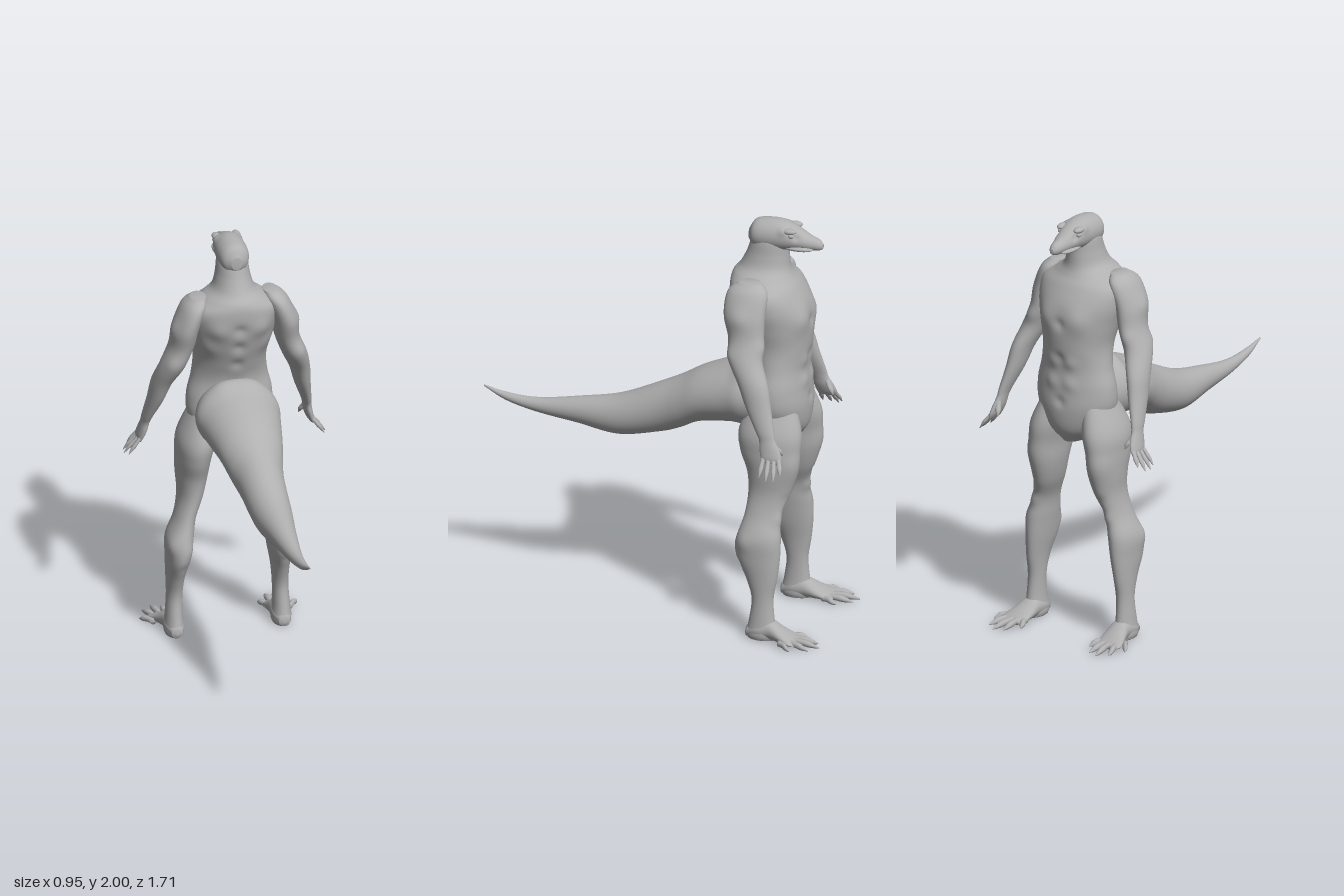
import * as THREE from 'three';

const skin = new THREE.MeshStandardMaterial({ color: 0xb0b0b0 });
skin.name = 'grey skin';

// Muscle swellings and grooves: x, y, z, reach, height (mirrored in x)
const muscles = [
  [0.09, 1.54, -0.71, 0.07, 0.014], [0.05, 1.33, -0.70, 0.04, 0.008], [0.05, 1.23, -0.71, 0.04, 0.008],
  [0, 1.52, -0.73, 0.03, -0.012], [0, 1.35, -0.71, 0.03, -0.006], [0, 1.14, -0.72, 0.03, -0.01],
  [0.1, 1.6, -0.37, 0.06, 0.012], [0.14, 1.5, -0.42, 0.06, 0.008],
  [0, 1.6, -0.35, 0.035, -0.012], [0, 1.5, -0.37, 0.035, -0.012], [0, 1.4, -0.41, 0.035, -0.01],
  [0.07, 1.28, -0.42, 0.05, 0.008], [0.15, 1.15, -0.40, 0.06, 0.008],
  [0.2, 0.85, -0.69, 0.07, 0.008], [0.21, 0.59, -0.63, 0.035, 0.01], [0.2, 0.68, -0.66, 0.03, -0.006],
  [0.21, 0.46, -0.44, 0.05, 0.008], [0.29, 0.48, -0.47, 0.05, 0.01], [0.24, 0.36, -0.44, 0.03, -0.006],
  [0.29, 1.6, -0.46, 0.05, 0.008], [0.27, 1.46, -0.57, 0.04, 0.008], [0.31, 1.43, -0.42, 0.04, 0.006],
  [0.06, 1.965, -0.6, 0.025, 0.01], [0.05, 1.935, -0.66, 0.02, -0.008],
];

function sculpt(geo) {
  const p = geo.attributes.position, n = geo.attributes.normal;
  for (let i = 0; i < p.count; i++) {
    let d = 0;
    for (const [x, y, z, r, h] of muscles) {
      const q = (Math.abs(p.getX(i)) - x) ** 2 + (p.getY(i) - y) ** 2 + (p.getZ(i) - z) ** 2;
      d += h * Math.exp(-q / (r * r) * 1.5);
    }
    p.setXYZ(i, p.getX(i) + n.getX(i) * d, p.getY(i) + n.getY(i) * d, p.getZ(i) + n.getZ(i) * d);
  }
  geo.computeVertexNormals();
}

// Smooth skin through elliptical sections [x, y, z, rx, r2];
// rings lie level for axis 'y' and upright across z for axis 'z'
function loft(name, axis, sections, { steps = 6, sides = 40, side = 1, shift = 0 } = {}) {
  const mid = new THREE.CatmullRomCurve3(sections.map(s => new THREE.Vector3(s[0] * side + shift, s[1], s[2])), false, 'catmullrom');
  const rad = new THREE.CatmullRomCurve3(sections.map(s => new THREE.Vector3(s[3], s[4], 0)), false, 'catmullrom');
  const rows = (sections.length - 1) * steps, pos = [], idx = [];
  for (let i = 0; i <= rows; i++) {
    const c = mid.getPoint(i / rows), r = rad.getPoint(i / rows);
    for (let j = 0; j < sides; j++) {
      const a = j / sides * Math.PI * 2;
      const u = Math.max(r.x, 0.001) * Math.cos(a), v = Math.max(r.y, 0.001) * Math.sin(a);
      pos.push(c.x + u, c.y + (axis === 'z' ? v : 0), c.z + (axis === 'y' ? v : 0));
    }
  }
  const start = pos.length / 3;
  pos.push(...mid.getPoint(0).toArray(), ...mid.getPoint(1).toArray());
  const k = axis === 'y' ? 1 : 2;
  const rising = sections[sections.length - 1][k] > sections[0][k];
  const flip = (axis === 'y') === rising;
  const tri = (a, b, c) => flip ? idx.push(a, c, b) : idx.push(a, b, c);
  for (let j = 0; j < sides; j++) {
    const j2 = (j + 1) % sides;
    for (let i = 0; i < rows; i++) {
      const a = i * sides + j, b = i * sides + j2;
      tri(a, b, b + sides);
      tri(a, b + sides, a + sides);
    }
    tri(start, j2, j);
    tri(start + 1, rows * sides + j, rows * sides + j2);
  }
  const geo = new THREE.BufferGeometry();
  geo.setAttribute('position', new THREE.Float32BufferAttribute(pos, 3));
  geo.setIndex(idx);
  geo.computeVertexNormals();
  sculpt(geo);
  const mesh = new THREE.Mesh(geo, skin);
  mesh.name = name;
  return mesh;
}

// Tapered finger or toe with a knuckle and a pointed claw
function digit(name, axis, from, to, r, arch, opts) {
  const at = (t, w, h) => [0, 1, 2].map(i => from[i] + (to[i] - from[i]) * t + (i === 1 ? h : 0)).concat(w, w);
  return loft(name, axis, [at(0, r, 0), at(0.35, r * 0.9, arch), at(0.6, r, arch), at(0.8, r * 0.7, arch / 2), at(1, 0.002, 0)],
    { steps: 3, sides: 12, ...opts });
}

function ball(name, x, y, z, rx, ry, rz) {
  const m = new THREE.Mesh(new THREE.SphereGeometry(1, 20, 14), skin);
  m.name = name;
  m.position.set(x, y, z);
  m.scale.set(rx, ry, rz);
  return m;
}

export function createModel() {
  const model = new THREE.Group();
  model.name = 'lizardFigure';

  // Torso and neck
  model.add(loft('torso', 'y', [
    [0, 0.93, -0.58, 0.05, 0.08], [0, 1.0, -0.565, 0.14, 0.14], [0, 1.1, -0.57, 0.195, 0.148],
    [0, 1.2, -0.575, 0.2, 0.135], [0, 1.3, -0.575, 0.178, 0.128], [0, 1.4, -0.565, 0.17, 0.152],
    [0, 1.5, -0.548, 0.19, 0.172], [0, 1.6, -0.527, 0.215, 0.178], [0, 1.68, -0.503, 0.215, 0.163],
    [0, 1.73, -0.49, 0.15, 0.142], [0, 1.77, -0.498, 0.1, 0.118], [0, 1.83, -0.51, 0.08, 0.1],
    [0, 1.9, -0.52, 0.07, 0.086], [0, 1.95, -0.52, 0.05, 0.06],
  ], { sides: 72, steps: 8 }));

  // Head with snout, brows and eyes
  const head = new THREE.Group();
  head.name = 'head';
  head.add(loft('skull', 'z', [
    [0, 1.91, -0.422, 0.025, 0.03], [0, 1.918, -0.45, 0.06, 0.065], [0, 1.922, -0.5, 0.072, 0.075],
    [0, 1.925, -0.58, 0.07, 0.073], [0, 1.917, -0.65, 0.056, 0.055], [0, 1.902, -0.71, 0.038, 0.037],
    [0, 1.895, -0.755, 0.024, 0.026], [0, 1.89, -0.774, 0.01, 0.012],
  ], { steps: 10, sides: 48 }));
  for (const s of [1, -1]) {
    head.add(ball('brow', s * 0.047, 1.963, -0.625, 0.02, 0.014, 0.035));
    head.add(ball('eye', s * 0.052, 1.942, -0.635, 0.011, 0.011, 0.013));
    head.add(ball('jaw', s * 0.025, 1.877, -0.66, 0.03, 0.014, 0.075));
  }
  model.add(head);

  // Tail
  model.add(loft('tail', 'z', [
    [0, 1.13, -0.6, 0.13, 0.09], [0, 1.145, -0.45, 0.19, 0.17], [0.003, 1.125, -0.35, 0.183, 0.15],
    [0.005, 1.083, -0.2, 0.153, 0.132], [0.006, 1.03, -0.1, 0.128, 0.128], [0.008, 0.987, 0, 0.107, 0.122],
    [0.01, 0.922, 0.2, 0.09, 0.098], [0.01, 0.912, 0.4, 0.06, 0.063], [0.012, 0.908, 0.6, 0.033, 0.034],
    [0.014, 0.93, 0.75, 0.018, 0.019], [0.015, 0.969, 0.857, 0.003, 0.004],
  ], { steps: 8, sides: 48 }));

  for (const side of [1, -1]) {
    const label = side > 0 ? 'left' : 'right';

    // Leg, foot and toes
    const leg = new THREE.Group();
    leg.name = label + 'LegAndFoot';
    const o = { side, shift: -0.012 };
    leg.add(loft('leg', 'y', [
      [0.11, 1.14, -0.57, 0.06, 0.1], [0.145, 1.0, -0.565, 0.088, 0.148], [0.16, 0.9, -0.568, 0.08, 0.143],
      [0.165, 0.8, -0.58, 0.072, 0.12], [0.175, 0.7, -0.57, 0.058, 0.1], [0.205, 0.6, -0.548, 0.05, 0.085],
      [0.232, 0.5, -0.54, 0.063, 0.102], [0.24, 0.4, -0.537, 0.056, 0.104], [0.247, 0.3, -0.555, 0.043, 0.075],
      [0.25, 0.2, -0.562, 0.037, 0.052], [0.253, 0.1, -0.56, 0.04, 0.06], [0.253, 0.03, -0.56, 0.046, 0.074],
      [0.253, 0.003, -0.56, 0.04, 0.068],
    ], o));
    leg.add(loft('foot', 'z', [
      [0.253, 0.03, -0.487, 0.025, 0.025], [0.253, 0.045, -0.54, 0.045, 0.044], [0.253, 0.05, -0.6, 0.047, 0.049],
      [0.262, 0.034, -0.66, 0.058, 0.033], [0.272, 0.02, -0.71, 0.066, 0.019], [0.275, 0.013, -0.74, 0.055, 0.01],
    ], o));
    [[0.222, 0.196, -0.765], [0.246, 0.245, -0.832], [0.272, 0.291, -0.85], [0.3, 0.338, -0.81], [0.322, 0.37, -0.73]]
      .forEach(([bx, tx, tz], i) => leg.add(digit('toe', 'z',
        [bx, 0.017, i === 4 ? -0.66 : -0.69], [tx, 0.006, tz], 0.015, 0.006, o)));
    model.add(leg);

    // Arm, hand, fingers and thumb
    const arm = new THREE.Group();
    arm.name = label + 'ArmAndHand';
    arm.add(loft('arm', 'y', [
      [0.17, 1.745, -0.48, 0.035, 0.05], [0.195, 1.7, -0.475, 0.055, 0.095], [0.232, 1.6, -0.472, 0.06, 0.098],
      [0.25, 1.5, -0.486, 0.057, 0.085], [0.288, 1.4, -0.497, 0.058, 0.08], [0.325, 1.3, -0.545, 0.047, 0.072],
      [0.347, 1.2, -0.578, 0.037, 0.061], [0.374, 1.1, -0.617, 0.024, 0.045], [0.382, 1.06, -0.632, 0.02, 0.039],
      [0.39, 1.02, -0.646, 0.02, 0.048], [0.4, 0.985, -0.656, 0.017, 0.05], [0.407, 0.962, -0.66, 0.01, 0.044],
    ], { side }));
    [[-0.622, 0.46, 0.905, -0.618], [-0.646, 0.474, 0.897, -0.655], [-0.67, 0.47, 0.898, -0.69], [-0.692, 0.445, 0.918, -0.715]]
      .forEach(([bz, tx, ty, tz]) => arm.add(digit('finger', 'y', [0.4, 0.985, bz], [tx, ty, tz], 0.011, 0.003, { side })));
    arm.add(digit('thumb', 'y', [0.385, 1.05, -0.66], [0.36, 0.983, -0.7], 0.014, 0.002, { side }));
    model.add(arm);
  }
  return model;
}
